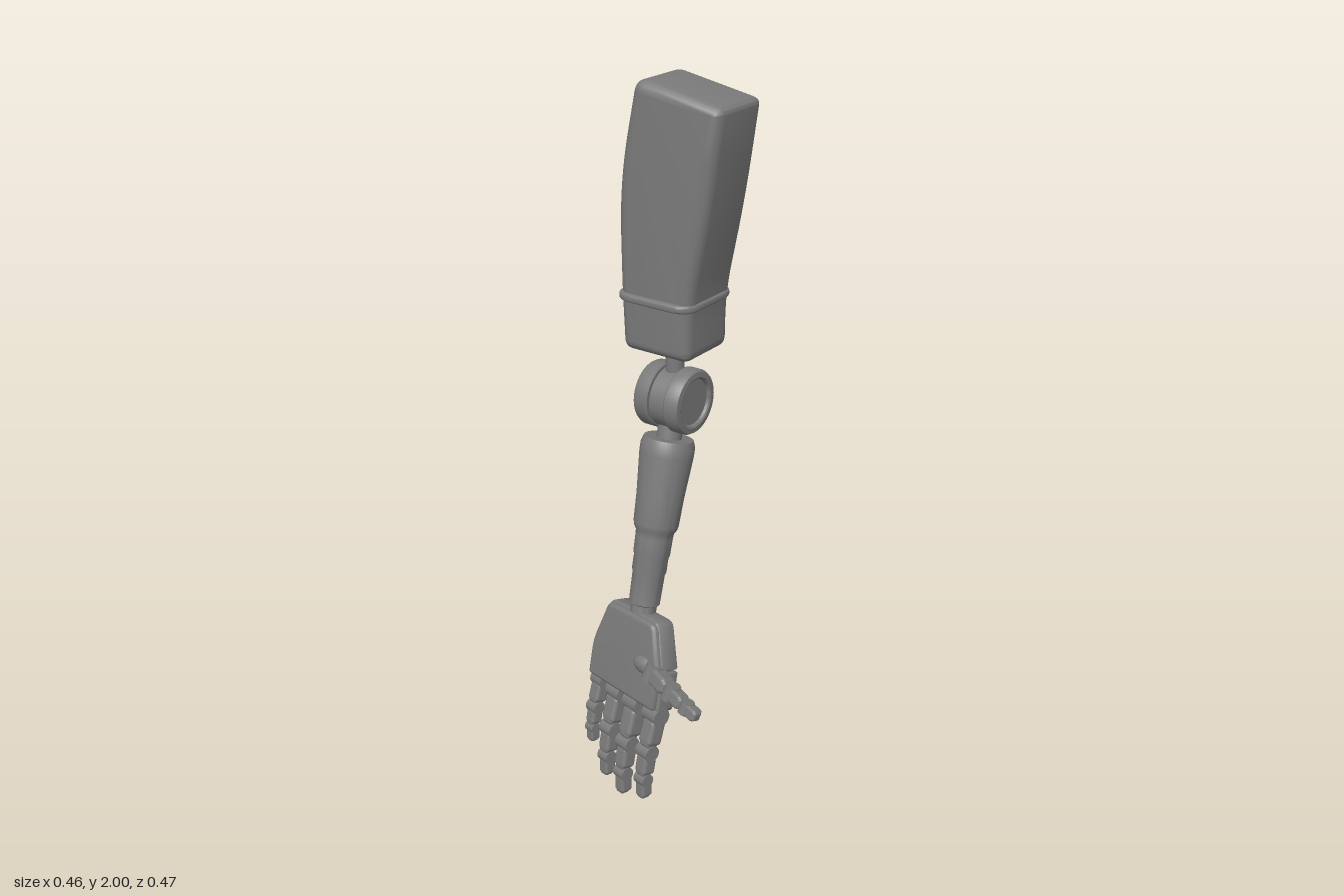
import * as THREE from 'three';
import { toCreasedNormals } from 'three/addons/utils/BufferGeometryUtils.js';
import { RoundedBoxGeometry } from 'three/addons/geometries/RoundedBoxGeometry.js';

const material = new THREE.MeshStandardMaterial({ color: 0x7a7a7a });

function add(parent, name, geometry, x = 0, y = 0, z = 0) {
  const mesh = new THREE.Mesh(geometry, material);
  mesh.name = name;
  mesh.position.set(x, y, z);
  parent.add(mesh);
  return mesh;
}

function group(parent, name, x = 0, y = 0, z = 0) {
  const g = new THREE.Group();
  g.name = name;
  g.position.set(x, y, z);
  parent.add(g);
  return g;
}

// Polygon whose corners [x, y, radius] are rounded
function roundedShape(points) {
  const shape = new THREE.Shape();
  const n = points.length;
  const toward = (a, b) => {
    const d = Math.hypot(b[0] - a[0], b[1] - a[1]);
    const t = Math.min(a[2] / d, 0.48);
    return [a[0] + (b[0] - a[0]) * t, a[1] + (b[1] - a[1]) * t];
  };
  points.forEach((p, i) => {
    const start = toward(p, points[(i + n - 1) % n]);
    const end = toward(p, points[(i + 1) % n]);
    if (i === 0) shape.moveTo(...start);
    else shape.lineTo(...start);
    shape.quadraticCurveTo(p[0], p[1], ...end);
  });
  shape.closePath();
  return shape;
}

// Bevelled slab centred on its thickness
function slab(points, thickness, bevel) {
  const geometry = new THREE.ExtrudeGeometry(roundedShape(points), {
    depth: thickness - 2 * bevel, bevelThickness: bevel, bevelSize: bevel,
    bevelOffset: -bevel, bevelSegments: 5, curveSegments: 8,
  });
  geometry.translate(0, 0, bevel - thickness / 2);
  return toCreasedNormals(geometry, 0.6);
}

// Slab drawn in side profile (z, y), thick along x
const sideSlab = (points, thickness, bevel) => slab(points, thickness, bevel).rotateY(-Math.PI / 2);

function lathe(points, segments = 40) {
  const profile = points.map(([r, y]) => new THREE.Vector2(r, y));
  return toCreasedNormals(new THREE.LatheGeometry(profile, segments), 0.6);
}

// Three jointed segments hanging along -y, each bent about z
function buildFinger(parent, name, length, width, bends) {
  const root = group(parent, name);
  let link = root;
  [0.42, 0.32, 0.26].forEach((share, i) => {
    const l = length * share;
    const w = width * (1 - 0.14 * i);
    link.rotation.z = bends[i];
    const joint = add(link, 'knuckle', new THREE.CylinderGeometry(w * 0.46, w * 0.46, w * 0.95, 20), 0, -w * 0.3, 0);
    joint.rotation.x = Math.PI / 2;
    add(link, 'phalanxCore', new RoundedBoxGeometry(w * 0.72, l, w * 0.72, 3, w * 0.2), 0, -l / 2, 0);
    add(link, 'phalanxShell', new RoundedBoxGeometry(w * 0.84, l * 0.66, w * 0.86, 3, w * 0.2), w * 0.04, -l * 0.6, 0);
    if (i < 2) link = group(link, 'fingerLink', 0, -l, 0);
  });
  return root;
}

export function createModel() {
  const model = new THREE.Group();
  model.name = 'mechanicalArm';

  // Upper arm
  add(model, 'upperArm', sideSlab([
    [0.03, 1.275, 0.03], [0.032, 1.43, 0.08], [0.088, 1.7, 0.12], [0.125, 1.955, 0.022],
    [-0.138, 2.003, 0.035], [-0.196, 1.73, 0.15], [-0.192, 1.45, 0.05], [-0.184, 1.275, 0.03],
  ], 0.198, 0.03), 0.119, 0, 0);

  // Band around the upper arm
  const band = slab([
    [0.114, 0.123, 0.06], [-0.114, 0.123, 0.06], [-0.114, -0.123, 0.06], [0.114, -0.123, 0.06],
  ], 0.022, 0.009).rotateX(Math.PI / 2);
  add(model, 'upperArmBand', band, 0.119, 1.428, -0.08);

  // Elbow: a drum with a recessed disc on each face
  const elbow = group(model, 'elbow', 0.11, 1.132, -0.075);
  add(elbow, 'elbowPost', new THREE.CylinderGeometry(0.026, 0.026, 0.18, 24), 0.005, 0.08, 0);
  const hub = add(elbow, 'elbowHub', new THREE.CylinderGeometry(0.086, 0.086, 0.06, 40), 0.008, -0.004, 0);
  hub.rotation.x = Math.PI / 2;
  const discProfile = [
    [0, 0], [0.088, 0], [0.092, 0.004], [0.092, 0.036], [0.087, 0.045],
    [0.072, 0.047], [0.067, 0.044], [0.065, 0.036], [0, 0.036],
  ];
  for (const side of [1, -1]) {
    const disc = add(elbow, 'elbowDisc', lathe(discProfile, 48), 0, 0, side * 0.027);
    disc.rotation.x = side * Math.PI / 2;
  }

  // Forearm, leaning towards the wrist
  const forearm = group(model, 'forearm', 0.115, 1.13, -0.075);
  forearm.rotation.z = -0.25;
  add(forearm, 'forearmLink', new THREE.CylinderGeometry(0.035, 0.035, 0.14, 24), 0, -0.08, 0);
  add(forearm, 'forearmShell', lathe([
    [0, -0.64], [0.037, -0.64], [0.037, -0.602], [0.044, -0.598], [0.046, -0.51],
    [0.049, -0.5], [0.049, -0.46], [0.052, -0.45], [0.053, -0.4], [0.054, -0.385], [0.061, -0.374],
    [0.064, -0.36], [0.067, -0.28], [0.076, -0.16], [0.076, -0.135], [0.069, -0.115], [0, -0.115],
  ]));

  // Hand, tilted with the forearm and turned about its own length
  const hand = group(model, 'hand', -0.045, 0.54, -0.075);
  hand.rotation.set(0, -0.26, -0.24, 'ZYX');
  add(hand, 'palm', sideSlab([
    [0.1, -0.014, 0.02], [-0.105, -0.016, 0.02], [-0.153, -0.15, 0.03],
    [-0.153, -0.257, 0.015], [0.143, -0.257, 0.015], [0.143, -0.14, 0.03],
  ], 0.06, 0.012), -0.008, 0, 0);
  add(hand, 'upperHandPlate', sideSlab([
    [0.1, -0.01, 0.02], [-0.11, -0.012, 0.02], [-0.158, -0.15, 0.008], [0.148, -0.138, 0.008],
  ], 0.06, 0.008), 0.008, 0, 0);
  add(hand, 'lowerHandPlate', sideSlab([
    [0.15, -0.143, 0.008], [-0.16, -0.155, 0.008], [-0.16, -0.262, 0.012], [0.15, -0.262, 0.012],
  ], 0.06, 0.008), 0.008, 0, 0);

  // Fingers: name, position across the hand, length, width
  [
    ['indexFinger', 0.123, 0.276, 0.06],
    ['middleFinger', 0.035, 0.302, 0.062],
    ['ringFinger', -0.046, 0.282, 0.06],
    ['littleFinger', -0.13, 0.212, 0.05],
  ].forEach(([name, z, length, width]) => {
    const finger = buildFinger(hand, name, length, width, [-0.11, 0.1, 0.17]);
    finger.position.set(0, -0.258, z);
  });

  // Thumb, reaching forward from the palm
  const base = new THREE.Vector3(-0.13, 0.412, 0.015);
  const tip = new THREE.Vector3(-0.205, 0.38, 0.232);
  const thumb = group(model, 'thumb', base.x, base.y, base.z);
  thumb.quaternion.setFromUnitVectors(new THREE.Vector3(0, -1, 0), tip.clone().sub(base).normalize());
  buildFinger(thumb, 'thumbFinger', base.distanceTo(tip), 0.056, [-0.06, 0.06, 0.06]);
  const mount = add(model, 'thumbMount', new THREE.SphereGeometry(0.034, 24, 16), -0.118, 0.415, 0.005);
  mount.scale.set(0.9, 0.9, 1.5);

  return model;
}
